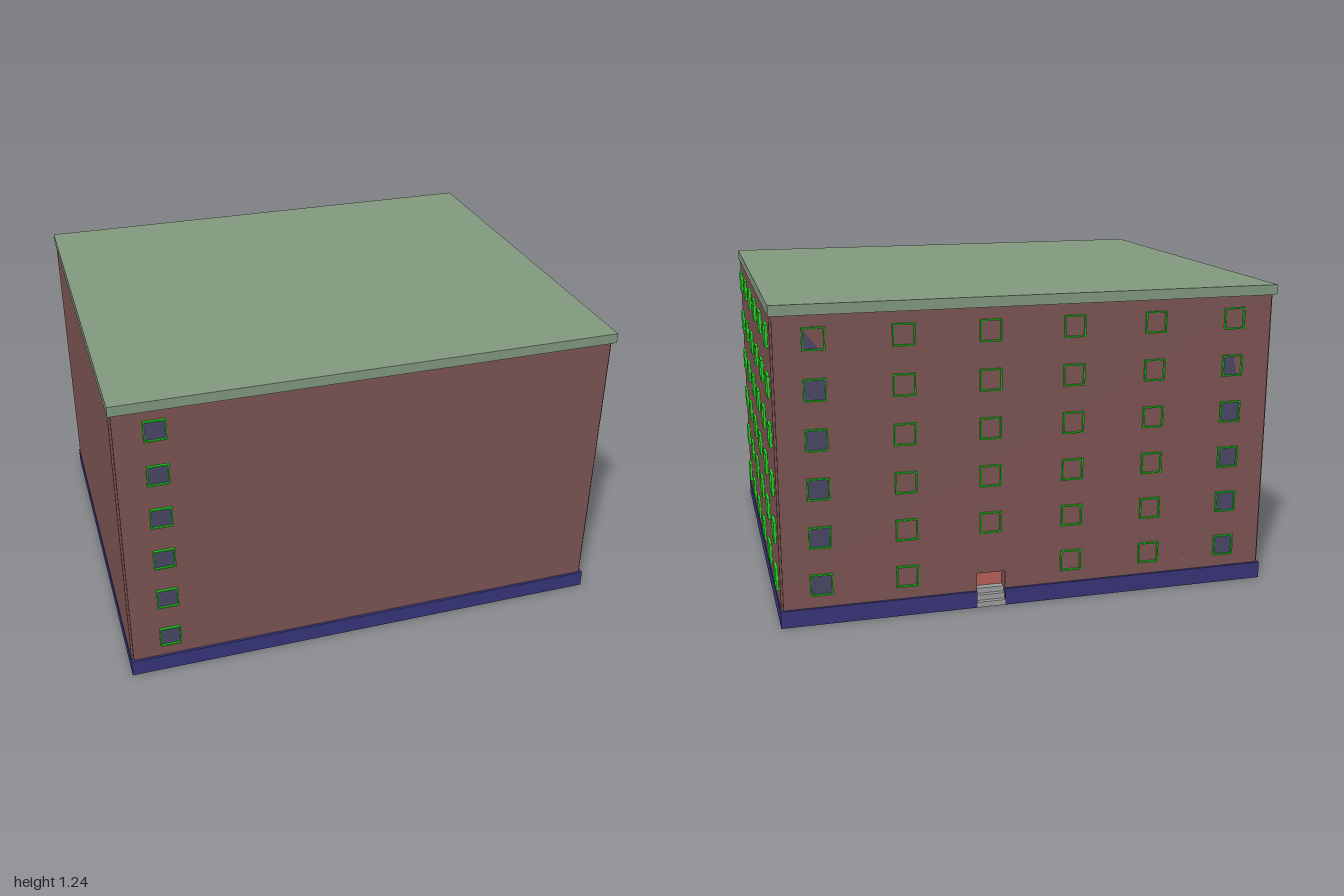
import * as THREE from 'three';

const mat = (color) => new THREE.MeshStandardMaterial({ color, flatShading: true });
const brick = mat(0x7d5553), plinthBlue = mat(0x38357a), roofGreen = mat(0x82997f);
const frameGreen = mat(0x22d422), glassBlue = mat(0x4a4866), doorRed = mat(0xb86058), stone = mat(0xa0a0a0);

const rows = [0.16, 0.35, 0.54, 0.73, 0.92, 1.11];
const SIZE = 0.085;
const DOOR = { x0: 0.105, x1: 0.22, depth: 0.06, top: 0.14 };

export function createModel() {
  const model = new THREE.Group();
  model.name = 'apartmentBlock';

  const add = (name, geometry, material, parent = model) => {
    const mesh = new THREE.Mesh(geometry, material);
    mesh.name = name;
    parent.add(mesh);
    return mesh;
  };
  const box = (name, material, x0, x1, y0, y1, z0, z1) =>
    add(name, new THREE.BoxGeometry(x1 - x0, y1 - y0, z1 - z0), material)
      .position.set((x0 + x1) / 2, (y0 + y1) / 2, (z0 + z1) / 2);

  // Floor-plan slab with a doorway notch in its back edge
  const notched = (name, material, x0, x1, z, y0, y1) => {
    const back = 0.825 - DOOR.depth;
    const plan = new THREE.Shape([
      [x0, -z], [x1, -z], [x1, z], [DOOR.x1, z], [DOOR.x1, back],
      [DOOR.x0, back], [DOOR.x0, z], [x0, z],
    ].map(([x, y]) => new THREE.Vector2(x, y)));
    const geo = new THREE.ExtrudeGeometry(plan, { depth: y1 - y0, bevelEnabled: false });
    add(name, geo.rotateX(-Math.PI / 2).translate(0, y0, 0), material);
  };

  // Plinth, walls and roof
  notched('plinth', plinthBlue, -0.999, 0.989, 0.835, 0, 0.068);
  notched('lowerWalls', brick, -0.996, 0.985, 0.815, 0.068, DOOR.top);
  notched('lowerFacades', brick, -0.988, 0.977, 0.825, 0.068, DOOR.top);
  box('upperWalls', brick, -0.996, 0.985, DOOR.top, 1.2, -0.815, 0.815);
  box('upperFacades', brick, -0.988, 0.977, DOOR.top, 1.2, -0.825, 0.825);
  box('roof', roofGreen, -1, 0.99, 1.2, 1.24, -0.845, 0.845);

  // Recessed entrance: steps rising to a door
  for (let i = 0; i < 3; i++) {
    box('entranceStep', stone, DOOR.x0, DOOR.x1, 0, 0.022 * (i + 1), -0.835 + i * 0.018, -0.765);
  }
  box('entranceDoor', doorRed, DOOR.x0, DOOR.x1, 0.066, DOOR.top, -0.772, -0.765);

  // Window: a thin square frame, with an optional pane outline in unit coordinates
  const h = SIZE / 2, inner = h - 0.005;
  const square = [[-1, -1], [1, -1], [1, 1], [-1, 1]];
  const outline = (pts, s) => pts.map(([x, y]) => new THREE.Vector2(x * s, y * s));
  const frameShape = new THREE.Shape(outline(square, h));
  frameShape.holes.push(new THREE.Path(outline([...square].reverse(), inner)));
  const frameGeo = new THREE.ExtrudeGeometry(frameShape, { depth: 0.01, bevelEnabled: false });

  const addWindow = (x, y, z, turn, pane) => {
    const win = new THREE.Group();
    win.name = 'window';
    win.position.set(x, y, z);
    win.rotation.y = turn;
    add('windowFrame', frameGeo, frameGreen, win);
    if (pane) {
      const geo = new THREE.ShapeGeometry(new THREE.Shape(outline(pane, inner)));
      add('windowPane', geo, glassBlue, win).position.z = 0.002;
    }
    model.add(win);
  };

  // Panes that fill only part of their frame
  const leftPart = [[-1, -1], [0.6, -1], [0.1, 1], [-1, 1]];
  const lowerLeft = [[-1, -1], [0.5, -1], [-1, 0.9]];
  const rightPart = [[0.7, -1], [1, -1], [1, 1], [0, 1]];

  const sidePane = (col, row) => {
    if (row === 4) return [leftPart, null, null, lowerLeft, rightPart, square][col];
    if (row === 5) return col === 5 ? square : null;
    return col === 0 ? square : null;
  };
  const backPane = (col, row) => {
    if (col === 0) return row === 5 ? lowerLeft : square;
    if (col === 5) return row === 5 ? null : row === 4 ? leftPart : square;
    return null;
  };

  rows.forEach((y, row) => {
    addWindow(-0.835, y, 0.825, 0, square);
    for (let col = 0; col < 6; col++) {
      addWindow(0.985, y, 0.697 - col * 0.279, Math.PI / 2, sidePane(col, row));
      // The entrance takes the place of one ground-floor window
      if (row === 0 && col === 2) continue;
      addWindow(0.83 - col * 0.332, y, -0.825, Math.PI, backPane(col, row));
    }
  });

  return model;
}
